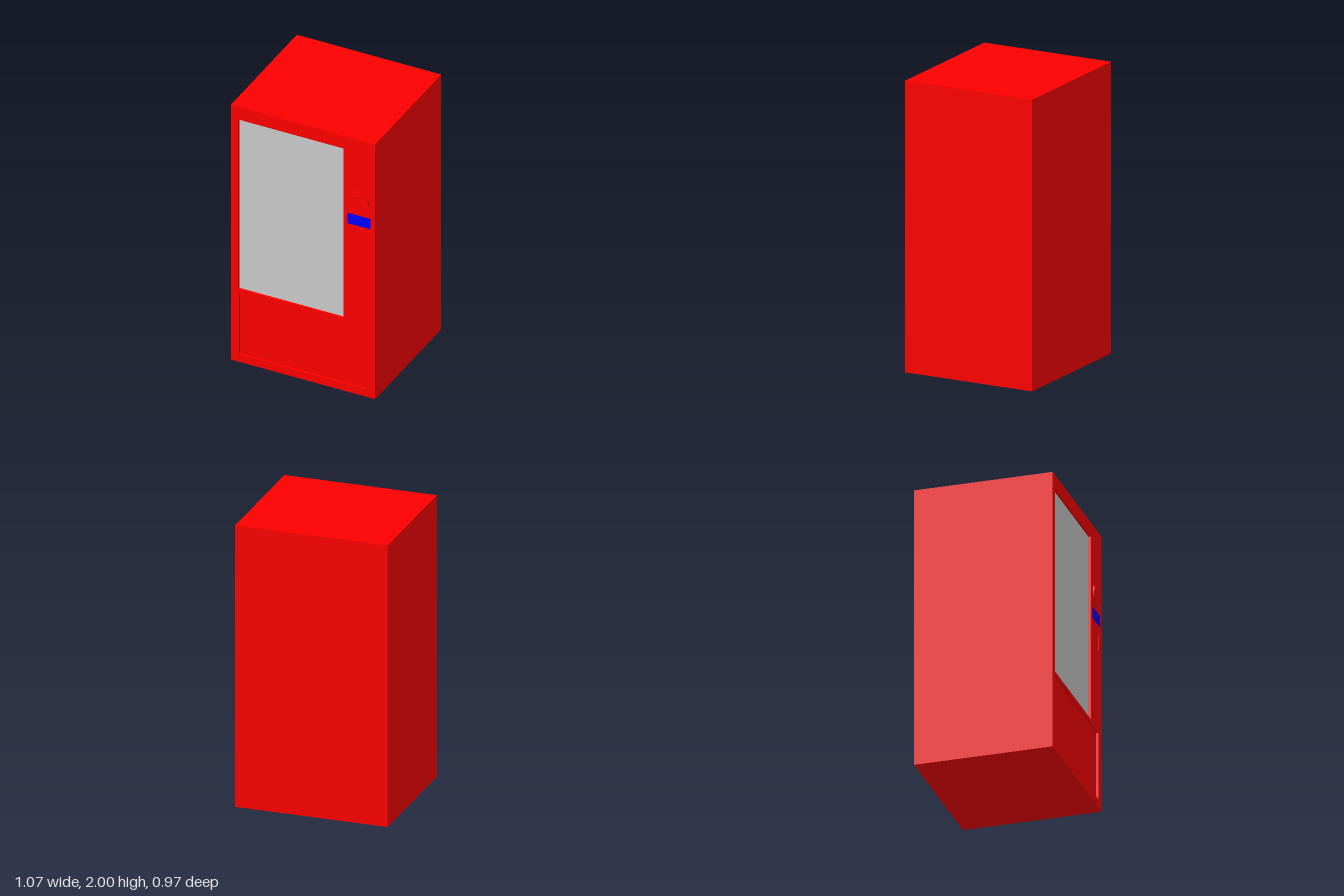
import * as THREE from 'three';

const FRONT = 0.475, BACK = -0.485, HALF_W = 0.535, RECESS = 0.018;

export function createModel() {
  const group = new THREE.Group();
  const red = new THREE.MeshStandardMaterial({ color: 0xff0000 });
  const blue = new THREE.MeshStandardMaterial({ color: 0x0000ff });
  const grey = new THREE.MeshStandardMaterial({ color: 0xcccccc });

  const add = (name, geometry, material) => {
    const mesh = new THREE.Mesh(geometry, material);
    mesh.name = name;
    group.add(mesh);
    return mesh;
  };
  // Box given by its limits on each axis
  const box = (name, x0, x1, y0, y1, z0, z1, material) =>
    add(name, new THREE.BoxGeometry(x1 - x0, y1 - y0, z1 - z0), material)
      .position.set((x0 + x1) / 2, (y0 + y1) / 2, (z0 + z1) / 2);
  const rect = (path, x0, x1, y0, y1) =>
    path.moveTo(x0, y0).lineTo(x1, y0).lineTo(x1, y1).lineTo(x0, y1).closePath();

  // Cabinet behind the front frame
  box('cabinet', -HALF_W, HALF_W, 0, 2, BACK, FRONT - RECESS, red);

  // Front frame with openings for the window and the delivery panel
  const frame = rect(new THREE.Shape(), -HALF_W, HALF_W, 0, 2);
  frame.holes.push(
    rect(new THREE.Path(), -0.48, 0.3, 0.57, 1.9),
    rect(new THREE.Path(), -0.475, 0.47, 0.058, 0.545)
  );
  add('frontFrame', new THREE.ExtrudeGeometry(frame, { depth: RECESS, bevelEnabled: false }), red)
    .position.z = FRONT - RECESS;

  // Window pane set into its opening
  box('windowPane', -0.48, 0.3, 0.57, 1.9, FRONT - RECESS - 0.002, FRONT - RECESS + 0.002, grey);

  // Slightly oval round button
  const button = add('button', new THREE.CylinderGeometry(1, 1, 1, 48), red);
  button.geometry.rotateX(Math.PI / 2);
  button.scale.set(0.073, 0.078, 0.02);
  button.position.set(0.416, 1.515, 0.475);

  // Display and the thin coin and note slot plates
  box('display', 0.332, 0.5, 1.325, 1.405, FRONT - 0.005, FRONT + 0.002, blue);
  box('upperSlotPlate', 0.3, HALF_W, 1.25, 1.3, FRONT - 0.005, FRONT + 0.003, red);
  box('lowerSlotPlate', 0.3, HALF_W, 1.2, 1.25, FRONT - 0.005, FRONT + 0.002, red);
  box('coinSlot', 0.465, 0.475, 1.14, 1.3, FRONT - 0.005, FRONT + 0.004, red);

  return group;
}
